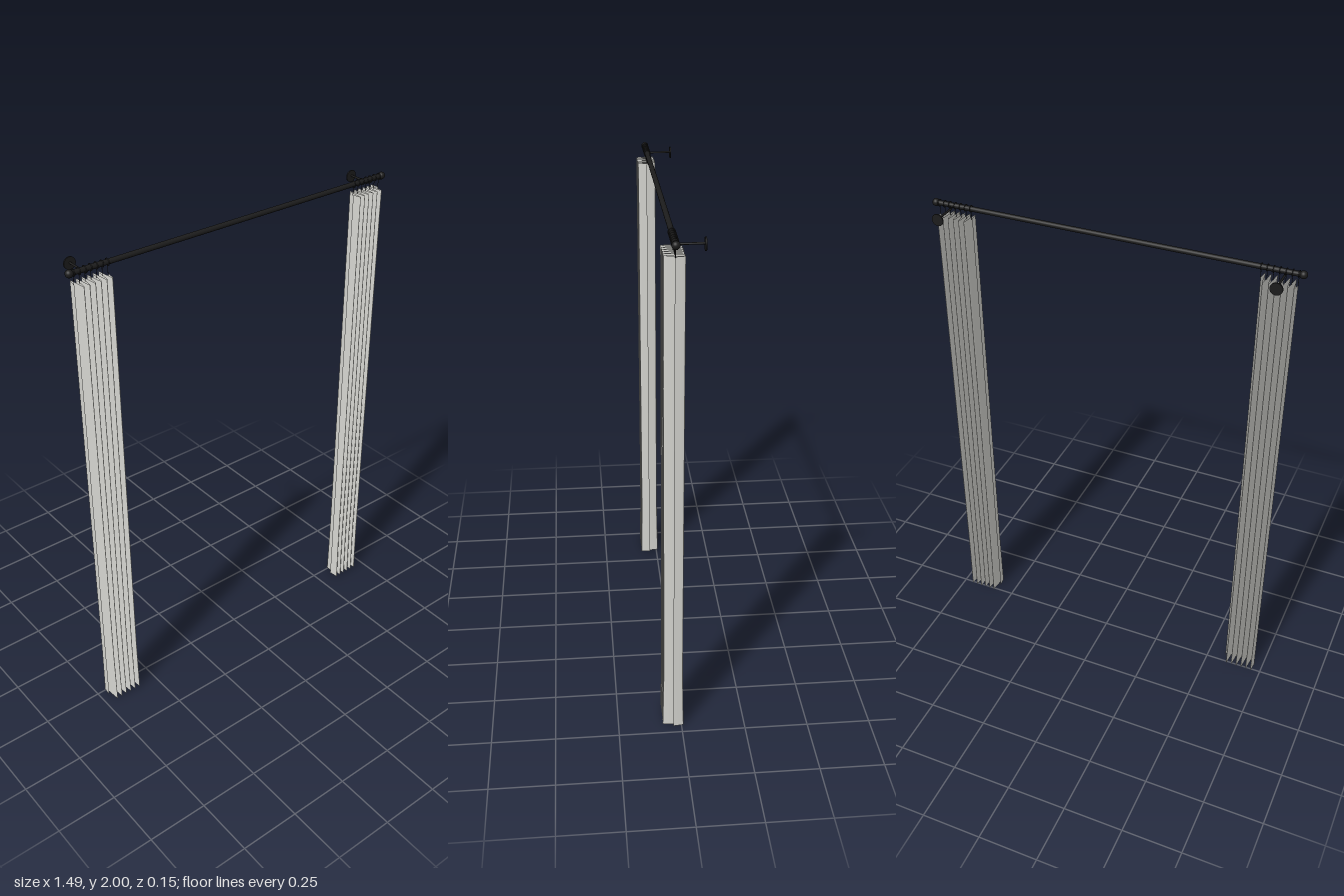
import * as THREE from 'three';

const ROD_Y = 1.985, ROD_Z = 0.031;
const PANEL_IN = 0.577, PANEL_OUT = 0.714, PANEL_TOP = 1.942, FOLDS = 6;

export function createModel() {
  const metal = new THREE.MeshStandardMaterial({ color: 0x1c1c1c });
  metal.name = 'blackMetal';
  const fabric = new THREE.MeshStandardMaterial({ color: 0xd6d6d1, side: THREE.DoubleSide });
  fabric.name = 'paleFabric';

  const model = new THREE.Group();
  model.name = 'curtains';

  const add = (parent, name, geometry, material, x, y, z) => {
    const mesh = new THREE.Mesh(geometry, material);
    mesh.name = name;
    mesh.position.set(x, y, z);
    parent.add(mesh);
    return mesh;
  };

  // Rod across the top
  const rod = new THREE.CylinderGeometry(0.01, 0.01, 1.46, 24).rotateZ(Math.PI / 2);
  add(model, 'rod', rod, metal, 0, ROD_Y, ROD_Z);

  // Hanging cloth, pleated by a sine wave that opens a little towards the hem
  const panelGeometry = (side) => {
    const width = PANEL_OUT - PANEL_IN;
    const g = new THREE.PlaneGeometry(width, PANEL_TOP, FOLDS * 20, 16);
    const p = g.attributes.position;
    for (let i = 0; i < p.count; i++) {
      const t = 0.5 - p.getX(i) / width; // 0 at the outer edge
      const y = p.getY(i) + PANEL_TOP / 2;
      const flare = 0.004 * Math.max(0, 1 - y / 0.25);
      const z = ROD_Z + 0.002 - (0.037 + flare) * Math.sin(t * FOLDS * Math.PI * 2);
      p.setXYZ(i, side * (PANEL_OUT - t * width), y, z);
    }
    g.computeVertexNormals();
    return g;
  };

  const ringGeometry = new THREE.TorusGeometry(0.0125, 0.0018, 8, 24).rotateY(Math.PI / 2);
  const hookGeometry = new THREE.CylinderGeometry(0.001, 0.001, 0.034, 6);
  const plateGeometry = new THREE.CylinderGeometry(0.024, 0.024, 0.005, 32).rotateX(Math.PI / 2);
  const armGeometry = new THREE.CylinderGeometry(0.004, 0.004, 0.105, 12).rotateX(Math.PI / 2);
  const cradleGeometry = new THREE.TorusGeometry(0.0115, 0.003, 8, 16, Math.PI)
    .rotateZ(Math.PI).rotateY(Math.PI / 2);

  for (const side of [1, -1]) {
    const label = side > 0 ? 'left' : 'right';
    const half = new THREE.Group();
    half.name = label + 'Side';
    model.add(half);

    add(half, label + 'Curtain', panelGeometry(side), fabric, 0, 0, 0);
    add(half, label + 'Finial', new THREE.SphereGeometry(0.015, 24, 16), metal, side * 0.729, ROD_Y, ROD_Z);

    // Wall bracket: plate, arm and cradle under the rod
    const x = side * 0.664;
    add(half, label + 'WallPlate', plateGeometry, metal, x, 1.968, -0.0735);
    add(half, label + 'BracketArm', armGeometry, metal, x, 1.97, -0.0215);
    add(half, label + 'BracketCradle', cradleGeometry, metal, x, ROD_Y, ROD_Z);

    // Rings and hooks at every pleat
    for (let i = 0; i <= FOLDS; i++) {
      const rx = side * (PANEL_IN + (PANEL_OUT - PANEL_IN) * i / FOLDS);
      add(half, 'curtainRing', ringGeometry, metal, rx, ROD_Y, ROD_Z);
      add(half, 'ringHook', hookGeometry, metal, rx, 1.956, ROD_Z);
    }
  }
  return model;
}
